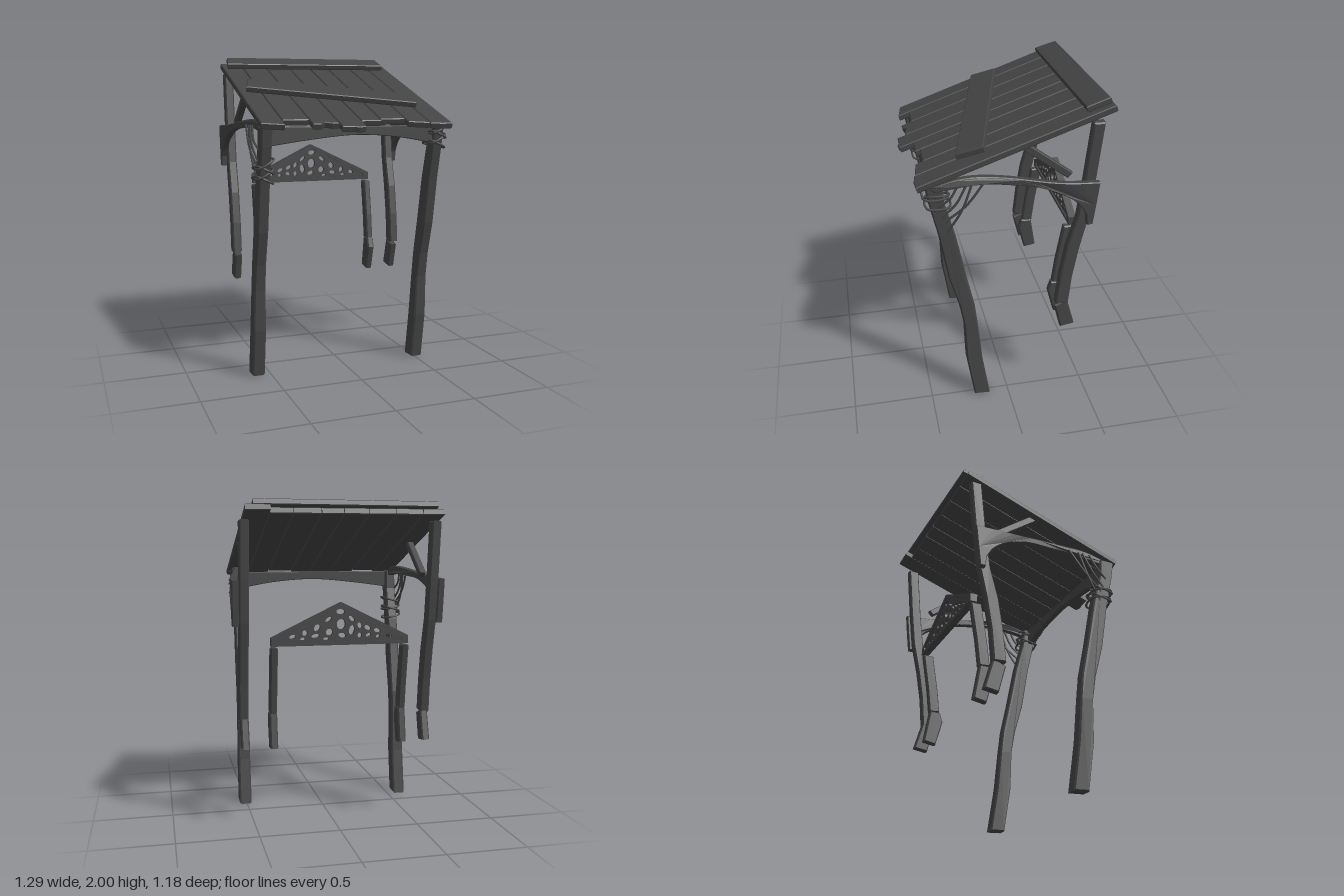
import * as THREE from 'three';

const wood = new THREE.MeshStandardMaterial({ color: 0x444444, flatShading: true });
const ropeMat = new THREE.MeshStandardMaterial({ color: 0x444444 });

function add(parent, geo, name, mat = wood) {
  const m = new THREE.Mesh(geo, mat);
  m.name = name;
  parent.add(m);
  return m;
}

function outline(pts) {
  return new THREE.Shape(pts.map(p => new THREE.Vector2(p[0], p[1])));
}

function extrude(shape, depth, bevel) {
  return new THREE.ExtrudeGeometry(shape, {
    depth: depth - 2 * bevel, bevelEnabled: bevel > 0, bevelThickness: bevel,
    bevelSize: bevel, bevelOffset: -bevel, bevelSegments: 1, curveSegments: 10,
  }).translate(0, 0, bevel - depth / 2);
}

// Side profile given as (z, y), extruded across x
function sideProfile(pts, x, width, bevel = 0.008) {
  return extrude(outline(pts), width, bevel).rotateY(-Math.PI / 2).translate(x, 0, 0);
}

// Timber following a centre line of [z, y, depth], from top to bottom
function timber(line, x, width) {
  const left = line.map(([z, y, d], i) => [z - d / 2, y + (i ? -0.005 : 0)]);
  const right = line.map(([z, y, d]) => [z + d / 2, y]).reverse();
  return sideProfile([...left, ...right], x, width);
}

function smooth(pts, n) {
  return new THREE.SplineCurve(pts.map(p => new THREE.Vector2(p[0], p[1])))
    .getPoints(n).map(v => [v.x, v.y]);
}

function rope(parent, pts, name, closed = false, r = 0.007) {
  const c = new THREE.CatmullRomCurve3(pts.map(p => new THREE.Vector3(...p)), closed);
  add(parent, new THREE.TubeGeometry(c, 24, r, 6, closed), name, ropeMat);
}

function makeRoof() {
  const roof = new THREE.Group();
  roof.name = 'roof';
  const tilt = Math.atan(0.35), k = 1 / Math.cos(tilt);
  roof.position.y = 1.77;
  roof.rotation.x = tilt;
  const plank = (pts, lift, thick, name) => {
    const g = extrude(outline(pts.map(([x, z]) => [x, -z * k])), thick, 0.005);
    add(roof, g.rotateX(-Math.PI / 2).translate(0, lift + thick / 2, 0), name);
  };
  // left x, right x, back z, then the front edge from left to right
  const planks = [
    [-0.622, -0.489, -0.54, [[0, 0.51], [1, 0.535]]],
    [-0.485, -0.323, -0.54, [[0, 0.465], [1, 0.465]]],
    [-0.32, -0.158, -0.54, [[0, 0.53], [0.3, 0.53], [0.5, 0.505], [0.75, 0.522], [1, 0.522]]],
    [-0.155, -0.009, -0.54, [[0, 0.572], [0.5, 0.574], [0.7, 0.583], [1, 0.575]]],
    [-0.005, 0.124, -0.54, [[0, 0.49], [1, 0.49]]],
    [0.128, 0.288, -0.54, [[0, 0.465], [1, 0.465]]],
    [0.291, 0.425, -0.54, [[0, 0.51], [1, 0.53]]],
    [0.428, 0.572, -0.585, [[0, 0.535], [0.5, 0.545], [1, 0.542]]],
  ];
  for (const [a, b, back, front] of planks) {
    const edge = front.map(([t, z]) => [a + (b - a) * t, z]);
    plank([[b, back], [a, back], ...edge], -0.038, 0.038, 'roofPlank');
  }
  plank([[-0.575, -0.567], [-0.6, -0.432], [0.525, -0.44], [0.525, -0.578]], 0, 0.036, 'ridgePlank');
  plank([[-0.537, -0.14], [-0.586, 0.012], [0.445, 0.29], [0.488, 0.137]], 0, 0.036, 'diagonalPlank');
  return roof;
}

function makeGable() {
  const gable = new THREE.Group();
  gable.name = 'gable';
  const outer = [[-0.44, 1.15], [0.41, 1.15], [0.41, 1.2], [-0.02, 1.407], [-0.44, 1.2]];
  const inner = [[-0.4, 1.168], [0.37, 1.168], [0.37, 1.192], [-0.02, 1.382], [-0.4, 1.192]];
  const frame = outline(outer);
  frame.holes.push(outline(inner));
  add(gable, extrude(frame, 0.045, 0), 'gableFrame');
  // pierced panel: x, y, radius x, radius y, turn
  const holes = [
    [-0.015, 1.35, 0.03, 0.018, 0.1], [-0.085, 1.307, 0.026, 0.013, 0.7], [0.06, 1.305, 0.026, 0.013, -0.6],
    [-0.018, 1.274, 0.031, 0.036, 0], [-0.085, 1.238, 0.02, 0.034, 0.2], [-0.135, 1.265, 0.016, 0.022, -0.5],
    [-0.185, 1.25, 0.026, 0.015, 0.5], [-0.245, 1.232, 0.025, 0.014, 0.3], [-0.19, 1.206, 0.02, 0.012, -0.3],
    [-0.25, 1.197, 0.014, 0.012, 0], [-0.32, 1.198, 0.024, 0.011, 0.2], [-0.135, 1.205, 0.016, 0.018, 0],
    [-0.025, 1.207, 0.028, 0.016, 0.3], [0.055, 1.228, 0.024, 0.024, 0], [0.13, 1.256, 0.02, 0.026, 0.7],
    [0.14, 1.207, 0.028, 0.014, -0.2], [0.205, 1.225, 0.018, 0.02, -0.4], [0.218, 1.19, 0.018, 0.01, 0],
    [0.28, 1.205, 0.022, 0.014, -0.3], [0.075, 1.188, 0.018, 0.01, 0.1],
  ];
  const panel = outline(inner);
  for (const [x, y, rx, ry, a] of holes) {
    panel.holes.push(new THREE.Path().absellipse(x, y, rx * 0.88, ry * 0.88, 0, Math.PI * 2, false, a));
  }
  add(gable, extrude(panel, 0.022, 0), 'gablePanel');
  gable.position.z = -0.42;
  return gable;
}

// Curved side brace: long arm under the roof and a stub down the back post
function braceGeometry(s) {
  const top = smooth([[0.46, 1.56], [0.33, 1.595], [0.2, 1.605], [0, 1.59], [-0.25, 1.56], [-0.5, 1.545]], 20);
  const low = smooth([[-0.43, 1.34], [-0.385, 1.41], [-0.3, 1.475], [-0.15, 1.53], [0, 1.545], [0.2, 1.555], [0.44, 1.53]], 20);
  const g = sideProfile([...top, [-0.485, 1.4], [-0.47, 1.275], [-0.435, 1.275], ...low], 0, 0.04, 0.005);
  const p = g.attributes.position;
  for (let i = 0; i < p.count; i++) {
    const t = THREE.MathUtils.smoothstep(p.getZ(i), -0.4, 0.2);
    const x = s > 0 ? 0.623 - 0.085 * t : -0.63 + 0.045 * t;
    p.setX(i, p.getX(i) + x);
  }
  g.computeVertexNormals();
  return g;
}

function makeRopes(s, x) {
  const ropes = new THREE.Group();
  ropes.name = s > 0 ? 'leftRopes' : 'rightRopes';
  const base = s > 0 ? 1.45 : 1.26;
  // wraps around the post
  for (let i = 0; i < 4; i++) {
    const y = base + i * 0.03, zc = 0.435 - (1.53 - y) * 0.23, t = i % 2 ? 0.025 : -0.02;
    rope(ropes, [[x - 0.043, y, zc - 0.062], [x + 0.043, y + t, zc - 0.062],
      [x + 0.043, y + t, zc + 0.062], [x - 0.043, y - t, zc + 0.062]], 'ropeWrap', true);
  }
  // strands from the post to the side brace
  for (const [z, y, z2] of [[0.37, 1.26, 0.22], [0.4, 1.36, 0.25], [0.42, 1.43, 0.3], [0.38, 1.33, 0.15]]) {
    rope(ropes, [[x + s * 0.03, y, z], [x + s * 0.045, (y + 1.54) / 2, (z + z2) / 2 - 0.01],
      [x + s * 0.04, 1.57, z2]], 'ropeStrand');
  }
  return ropes;
}

export function createModel() {
  const model = new THREE.Group();
  model.name = 'leanToShelter';
  model.add(makeRoof(), makeGable());

  const frontLine = [[0.44, 1.57, 0.1], [0.425, 1.45, 0.09], [0.37, 1.235, 0.1], [0.315, 0.94, 0.108],
    [0.262, 0.73, 0.095], [0.238, 0.57, 0.085], [0.22, 0.31, 0.1], [0.172, 0.01, 0.1]];
  const backLine = [[-0.488, 1.89, 0.068], [-0.455, 1.55, 0.068], [-0.425, 1.3, 0.07], [-0.375, 1.1, 0.08],
    [-0.342, 0.9, 0.078], [-0.323, 0.7, 0.08]];
  const legLine = [[-0.405, 1.14, 0.07], [-0.365, 0.9, 0.07], [-0.345, 0.735, 0.07]];
  const foot = [[-0.28, 0.68], [-0.325, 0.51], [-0.415, 0.525], [-0.36, 0.715]];
  const legFoot = [[-0.305, 0.735], [-0.285, 0.67], [-0.33, 0.505], [-0.412, 0.52], [-0.375, 0.735]];
  const strut = [[-0.055, 1.755], [-0.33, 1.55], [-0.36, 1.58], [-0.1, 1.775]];

  for (const s of [-1, 1]) {
    const side = s > 0 ? 'left' : 'right';
    const xf = s > 0 ? 0.508 : -0.582, xb = s > 0 ? 0.57 : -0.585, xl = s > 0 ? 0.39 : -0.425;
    // posts, flaring a little towards the ground
    const post = timber(frontLine, 0, 0.066), p = post.attributes.position;
    for (let i = 0; i < p.count; i++) {
      p.setX(i, xf + p.getX(i) * (1 + 0.2 * THREE.MathUtils.smoothstep(-p.getY(i), -0.8, -0.2)));
    }
    post.computeVertexNormals();
    add(model, post, side + 'FrontPost');
    add(model, timber(backLine, xb, 0.058), side + 'BackPost');
    add(model, sideProfile(foot, xb - s * 0.006, 0.048), side + 'BackPostFoot');
    // legs carrying the gable
    add(model, timber(legLine, xl, 0.044), side + 'GableLeg');
    add(model, sideProfile(legFoot, xl, 0.046), side + 'GableLegFoot');
    add(model, braceGeometry(s), side + 'SideBrace');
    add(model, sideProfile(strut, xb - s * 0.025, 0.04, 0.005), side + 'Strut');
    model.add(makeRopes(s, xf));
  }

  // arched board between the front posts
  const arch = smooth([[0.48, 1.455], [0.25, 1.495], [-0.02, 1.513], [-0.3, 1.49], [-0.56, 1.455]], 20);
  const board = extrude(outline([[-0.56, 1.565], [0.48, 1.565], ...arch]), 0.04, 0.004);
  add(model, board.translate(0, 0, 0.44), 'frontArch');
  return model;
}
